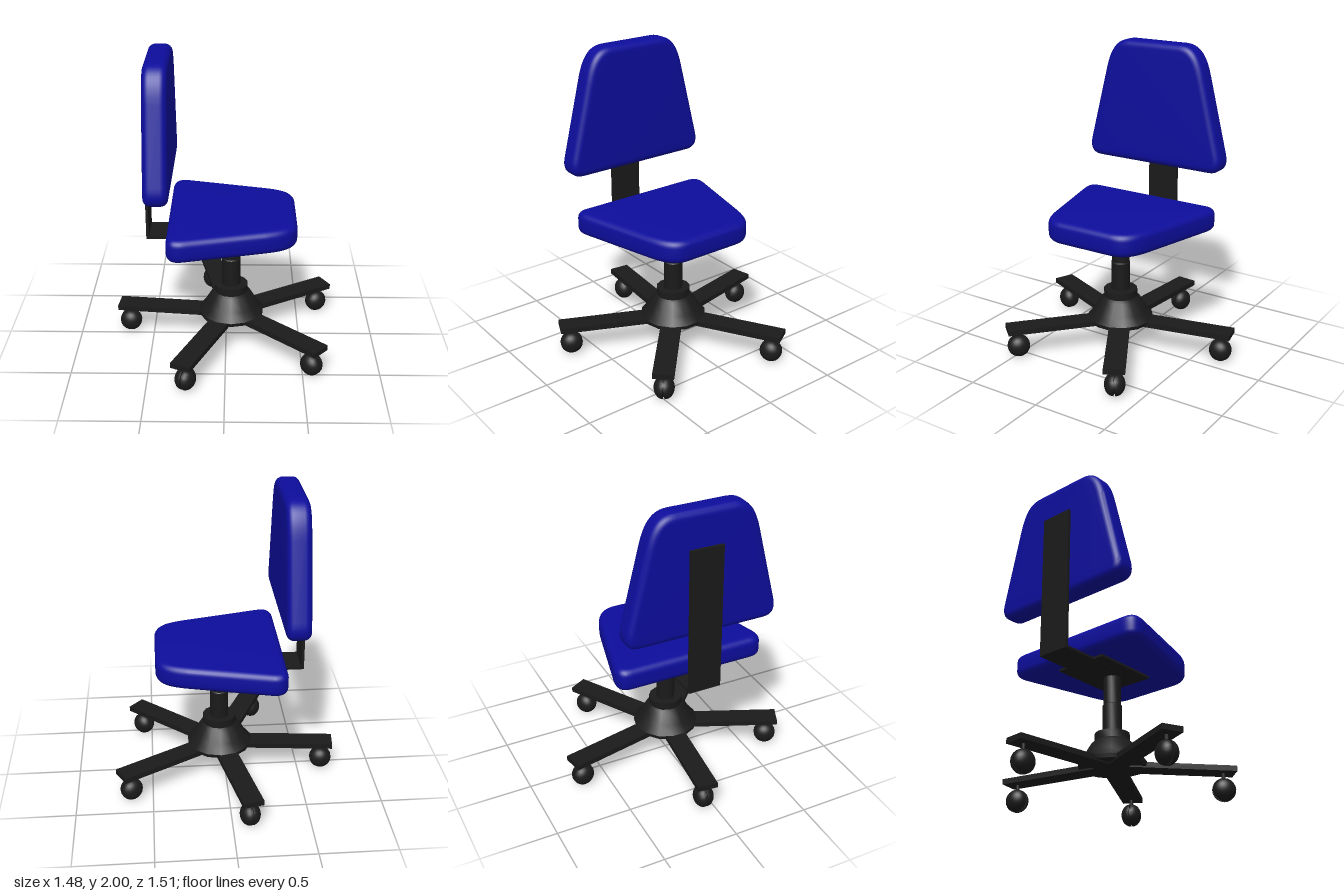
import * as THREE from 'three';
import { toCreasedNormals } from 'three/addons/utils/BufferGeometryUtils.js';

export function createModel() {
  const root = new THREE.Group();
  root.name = 'swivelChair';
  const blue = new THREE.MeshStandardMaterial({ color: 0x0d0d9c });
  const black = new THREE.MeshStandardMaterial({ color: 0x1a1a1a });
  const CX = 0.035, CZ = 0.017; // swivel axis

  const add = (parent, name, geometry, material, x = 0, y = 0, z = 0) => {
    const mesh = new THREE.Mesh(geometry, material);
    mesh.name = name;
    mesh.position.set(x, y, z);
    parent.add(mesh);
    return mesh;
  };

  // Box given by its minimum and maximum corners
  const slab = (name, a, b) => add(root, name,
    new THREE.BoxGeometry(b[0] - a[0], b[1] - a[1], b[2] - a[2]), black,
    (a[0] + b[0]) / 2, (a[1] + b[1]) / 2, (a[2] + b[2]) / 2);

  // Tapered cushion with soft corners, shared by seat and backrest
  const outline = new THREE.Shape();
  outline.moveTo(-0.42, 0);
  outline.lineTo(0.42, 0);
  outline.bezierCurveTo(0.49, 0, 0.525, 0.04, 0.497, 0.135);
  outline.lineTo(0.375, 0.62);
  outline.bezierCurveTo(0.345, 0.74, 0.30, 0.825, 0.19, 0.825);
  outline.lineTo(-0.19, 0.825);
  outline.bezierCurveTo(-0.30, 0.825, -0.345, 0.74, -0.375, 0.62);
  outline.lineTo(-0.497, 0.135);
  outline.bezierCurveTo(-0.525, 0.04, -0.49, 0, -0.42, 0);
  const bevel = 0.045, thickness = 0.153;
  const cushion = toCreasedNormals(new THREE.ExtrudeGeometry(outline, {
    depth: thickness - 2 * bevel, bevelThickness: bevel, bevelSize: bevel,
    bevelOffset: -bevel, bevelSegments: 6, curveSegments: 12,
  }).translate(0, 0, bevel), 0.7);

  const X = new THREE.Vector3(1, 0, 0), Y = new THREE.Vector3(0, 1, 0), Z = new THREE.Vector3(0, 0, 1);
  const seat = add(root, 'seat', cushion, blue, -0.368, 0.808, CZ);
  seat.quaternion.setFromRotationMatrix(new THREE.Matrix4().makeBasis(Z, X, Y));
  const back = add(root, 'backrest', cushion, blue, -0.342, 1.175, CZ);
  back.quaternion.setFromRotationMatrix(new THREE.Matrix4().makeBasis(Z, Y, X.clone().negate()));

  // Bent steel strip carrying the backrest, and the seat plate
  slab('backUpright', [-0.517, 0.79, -0.093], [-0.499, 1.765, 0.127]);
  slab('backStrip', [-0.517, 0.79, -0.093], [0, 0.806, 0.127]);
  slab('seatPlate', [-0.27, 0.792, -0.163], [0.19, 0.81, 0.197]);

  // Gas column and flared hub
  const lathe = (pts, sides) => toCreasedNormals(
    new THREE.LatheGeometry(pts.map(p => new THREE.Vector2(...p)), sides), 0.5);
  add(root, 'column', lathe([[0, 0.38], [0.062, 0.38], [0.062, 0.6], [0.057, 0.605], [0.057, 0.8], [0, 0.8]], 20),
    black, CX, 0, CZ);
  add(root, 'hub', lathe([[0, 0.19], [0.215, 0.19], [0.22, 0.215], [0.175, 0.27], [0.13, 0.345],
    [0.112, 0.36], [0.112, 0.41], [0, 0.41]], 14), black, CX, 0, CZ);

  // Five legs, each with a stem and a split ball caster
  const half = new THREE.SphereGeometry(1, 20, 8, 0, Math.PI * 2, 0, Math.PI / 2);
  const wheel = half.scale(0.074, 0.06, 0.074);
  const inner = new THREE.CircleGeometry(0.074, 20).rotateX(Math.PI / 2);
  for (let i = 0; i < 5; i++) {
    const leg = new THREE.Group();
    leg.name = 'leg' + (i + 1);
    leg.position.set(CX, 0, CZ);
    leg.rotation.y = -THREE.MathUtils.degToRad(41.9 + 72 * i);
    add(leg, 'legBar', new THREE.BoxGeometry(0.774, 0.035, 0.135), black, 0.387, 0.198, 0);
    add(leg, 'casterStem', new THREE.CylinderGeometry(0.013, 0.013, 0.12, 10), black, 0.7, 0.13, 0);
    add(leg, 'casterAxle', new THREE.CylinderGeometry(0.06, 0.06, 0.02, 16).rotateX(Math.PI / 2), black, 0.7, 0.075, 0);
    for (const s of [1, -1]) {
      const w = new THREE.Group();
      w.name = 'casterWheel';
      w.position.set(0.7, 0.075, s * 0.006);
      w.rotation.x = s * Math.PI / 2;
      add(w, 'wheelShell', wheel, black);
      add(w, 'wheelFace', inner, black);
      leg.add(w);
    }
    root.add(leg);
  }
  return root;
}
